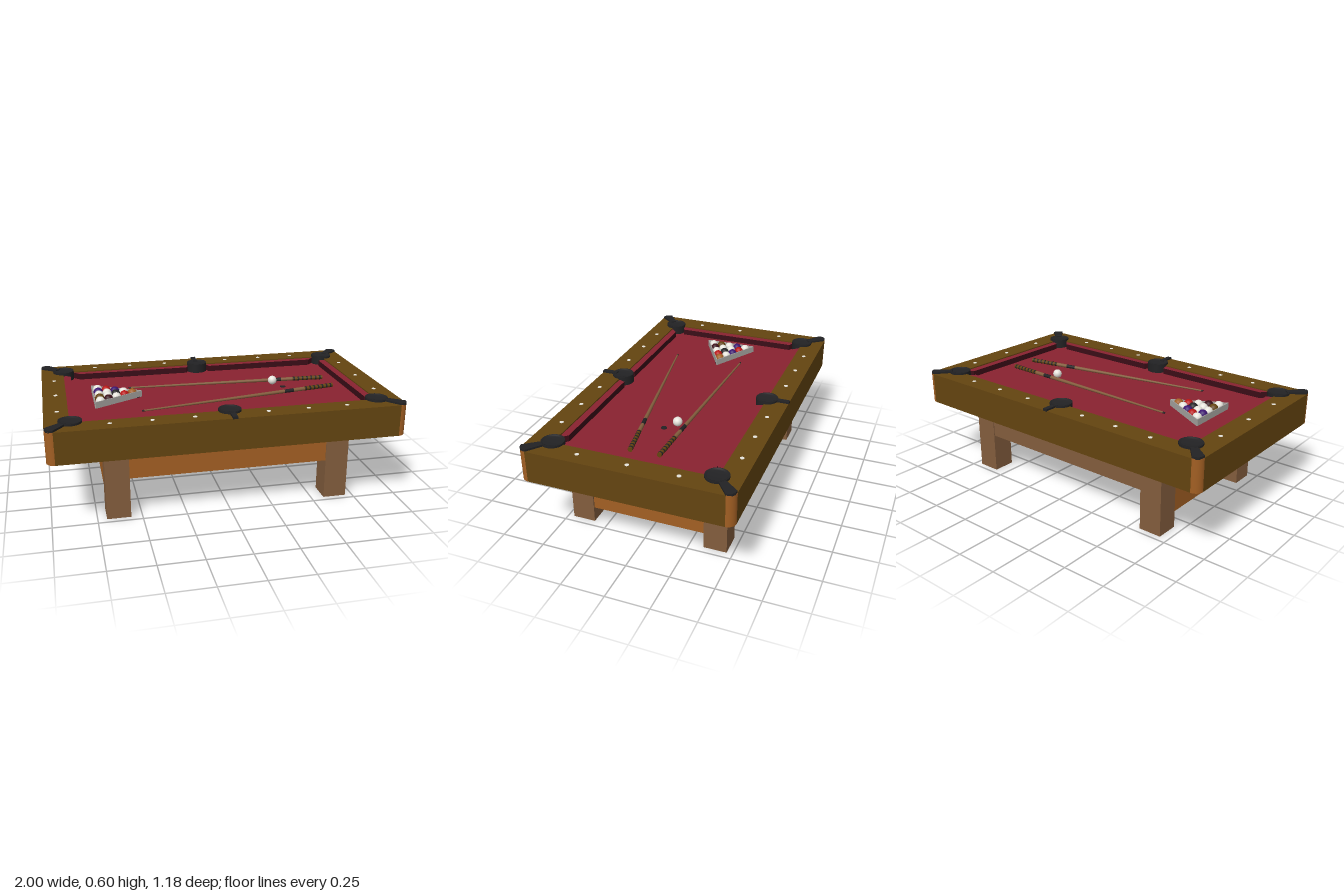
import * as THREE from 'three';

const mat = (name, color) => Object.assign(new THREE.MeshStandardMaterial({ color }), { name });

export function createModel() {
  const M = {
    rail: mat('dark walnut', 0x644410),
    trim: mat('orange wood', 0xa25f23),
    leg: mat('brown wood', 0x835d3d),
    felt: mat('red felt', 0x892230),
    shade: mat('cushion shadow cloth', 0x3a0d17),
    black: mat('black leather', 0x222224),
    white: mat('white', 0xe6e4dc),
    red: mat('ball red', 0xb81414),
    purple: mat('ball purple', 0x3c1470),
    grey: mat('rack grey', 0xa8a6a2),
  };
  const root = new THREE.Group();
  root.name = 'poolTable';
  const add = (name, geo, material, x = 0, y = 0, z = 0, parent = root) => {
    const m = new THREE.Mesh(geo, material);
    m.name = name;
    m.position.set(x, y, z);
    parent.add(m);
    return m;
  };
  const shapeOf = (pts) => new THREE.Shape(pts.map(([x, z]) => new THREE.Vector2(x, z)));
  // Extrudes an (x, z) outline downwards from y = 0
  const slab = (shape, h) => new THREE.ExtrudeGeometry(shape, { depth: h, bevelEnabled: false }).rotateX(Math.PI / 2);
  const corners = [[1, 1], [-1, 1], [-1, -1], [1, -1]];

  // Rail frame with notched corners for the rounded posts
  const FX = 1, FZ = 0.59, R = 0.045, TOP = 0.588, H = 0.183, IX = 0.865, IZ = 0.458;
  const outline = [];
  corners.forEach(([sx, sz], i) => {
    const notch = [[FX, FZ - R], [FX - R, FZ - R], [FX - R, FZ]];
    if (i % 2) notch.reverse();
    notch.forEach(([x, z]) => outline.push([x * sx, z * sz]));
  });
  const frame = shapeOf(outline);
  frame.holes.push(shapeOf([[IX, IZ], [IX, -IZ], [-IX, -IZ], [-IX, IZ]]));
  add('railFrame', slab(frame, H), M.rail, 0, TOP);
  corners.forEach(([sx, sz], i) => {
    const post = new THREE.CylinderGeometry(R, R, H, 8, 1, false, 0, Math.PI / 2);
    add('cornerPost', post, M.trim, sx * (FX - R), TOP - H / 2, sz * (FZ - R)).rotation.y = -i * Math.PI / 2;
  });

  // Playing surface
  const BED = 0.545;
  add('feltBed', new THREE.BoxGeometry(2 * IX + 0.01, 0.02, 2 * IZ + 0.01), M.felt, 0, BED - 0.01);

  // Cushions: cloth on top, dark on the nose
  const cloth = [M.felt, M.shade];
  for (const s of [-1, 1]) {
    for (const t of [-1, 1]) {
      const long = [[0.8, IZ], [0.762, 0.418], [0.075, 0.418], [0.058, IZ]].map(([x, z]) => [x * s, z * t]);
      add('longCushion', slab(shapeOf(long), 0.037), cloth, 0, 0.581);
    }
    const end = [[IX, 0.4], [0.822, 0.38], [0.822, -0.38], [IX, -0.4]].map(([x, z]) => [x * s, z]);
    add('endCushion', slab(shapeOf(end), 0.037), cloth, 0, 0.581);
  }

  // Pockets with raised rims, and their straps
  const cup = new THREE.LatheGeometry(
    [[0, 0.4], [0.064, 0.4], [0.064, 0.4], [0.064, 0.6], [0.064, 0.6], [0.055, 0.6], [0.05, 0.592], [0, 0.592]]
      .map(([r, y]) => new THREE.Vector2(r, y)), 24);
  for (const sx of [-1, 0, 1]) {
    for (const sz of [-1, 1]) {
      add('pocket', cup, M.black, sx * 0.863, 0, sz * (sx ? 0.455 : 0.46));
      const strap = sx
        ? [[0.885, 0.5], [0.955, 0.588], [0.975, 0.586], [0.99, 0.575], [0.998, 0.555], [0.998, 0.542], [0.91, 0.475]]
          .map(([x, z]) => [x * sx, z * sz])
        : [[-0.014, 0.5 * sz], [0.014, 0.5 * sz], [0.014, 0.592 * sz], [-0.014, 0.592 * sz]];
      add('pocketStrap', slab(shapeOf(strap), 0.014), M.black, 0, 0.599);
    }
  }

  // Rail sights
  const sight = new THREE.CylinderGeometry(0.012, 0.012, 0.004, 10);
  for (const s of [-1, 1]) {
    for (const x of [-0.66, -0.435, -0.205, 0.205, 0.435, 0.66]) add('railSight', sight, M.white, x, TOP, s * 0.518);
    for (const z of [-0.28, 0, 0.28]) add('railSight', sight, M.white, s * 0.925, TOP, z);
  }

  // Legs and aprons
  for (const [sx, sz] of corners) {
    add('leg', new THREE.BoxGeometry(0.135, 0.406, 0.133), M.leg, sx * 0.636 + 0.005, 0.203, sz * 0.3985);
  }
  const apron = [M.leg, M.leg, M.leg, M.black, M.trim, M.leg];
  for (const s of [-1, 1]) {
    add('longApron', new THREE.BoxGeometry(1.14, 0.172, 0.02), apron, 0.005, 0.32, s * 0.45);
    add('endApron', new THREE.BoxGeometry(0.02, 0.316, 0.67), M.trim, s * 0.685 + 0.005, 0.247, 0);
  }

  // Racked balls, one column per step towards the apex
  const BR = 0.027;
  const ball = new THREE.SphereGeometry(BR, 16, 12);
  const { white: W, red: E, purple: P, black: K, rail: B, trim: O, shade: D } = M;
  const columns = [[W, P, W, B, W], [E, W, W, D], [P, K, W], [W, E], [O]];
  columns.forEach((col, i) => col.forEach((m, j) => {
    add('rackedBall', ball, m, -0.676 + i * 0.049, BED + BR, (j - (col.length - 1) / 2) * 0.055 - 0.004);
  }));
  add('cueBall', ball, M.white, 0.4, BED + BR, -0.062);

  // Triangle rack made of three thin walls
  const tri = [[-0.708, -0.162], [-0.425, -0.004], [-0.708, 0.154]];
  tri.forEach(([x, z], i) => {
    const [x2, z2] = tri[(i + 1) % 3];
    const wall = new THREE.BoxGeometry(Math.hypot(x2 - x, z2 - z), 0.038, 0.005);
    add('rackWall', wall, M.grey, (x + x2) / 2, BED + 0.019, (z + z2) / 2).rotation.y = -Math.atan2(z2 - z, x2 - x);
  });

  // Table spots
  const spot = new THREE.CylinderGeometry(0.017, 0.017, 0.004, 16);
  for (const x of [-0.455, 0.45]) add('tableSpot', spot, M.black, x, BED + 0.001, 0);

  // Cues: tapered sections laid from tip to butt
  const cue = (x1, z1, x2, z2) => {
    const g = new THREE.Group();
    g.name = 'cue';
    const L = Math.hypot(x2 - x1, z2 - z1);
    const rad = (t) => 0.005 + 0.008 * t;
    const section = (name, a, b, m, grow = 0) => {
      const geo = new THREE.CylinderGeometry(rad(b) + grow, rad(a) + grow, (b - a) * L, 12).rotateZ(-Math.PI / 2);
      add(name, geo, m, ((a + b) / 2) * L, 0, 0, g);
    };
    section('cueTip', 0, 0.01, M.black);
    section('cueShaft', 0.01, 0.73, M.leg);
    section('cueJoint', 0.73, 0.78, M.black);
    section('cueForearm', 0.78, 0.84, M.leg);
    section('cueButt', 0.84, 1, M.rail);
    for (let i = 0; i < 7; i++) section('cueGripBand', 0.845 + i * 0.023, 0.853 + i * 0.023, M.black, 0.0008);
    g.position.set(x1, BED + 0.013, z1);
    g.rotation.y = -Math.atan2(z2 - z1, x2 - x1);
    root.add(g);
  };
  cue(-0.485, -0.145, 0.74, -0.095);
  cue(-0.46, 0.282, 0.745, 0.068);

  return root;
}
